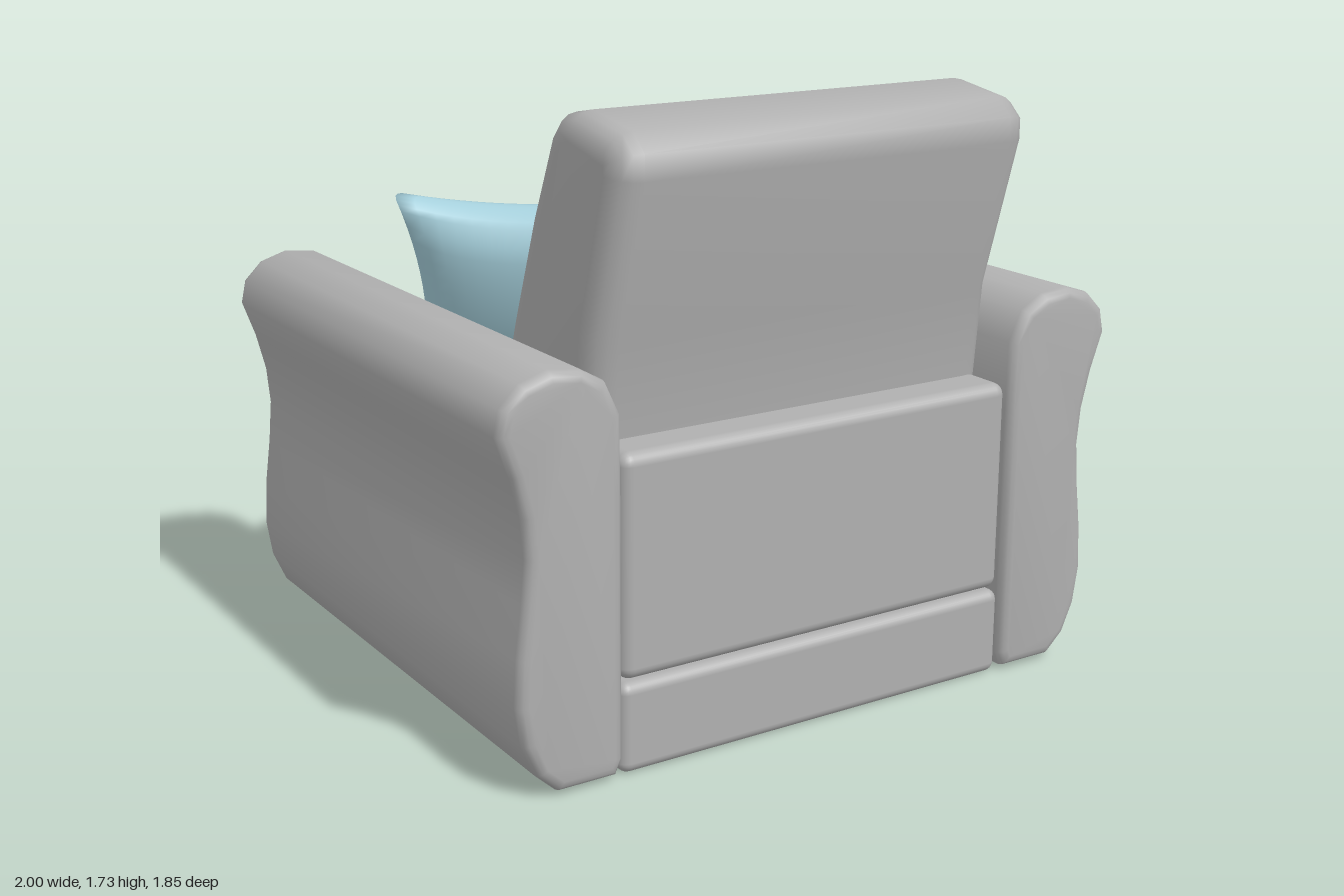
import * as THREE from 'three';
import { mergeVertices, toCreasedNormals } from 'three/addons/utils/BufferGeometryUtils.js';
import { RoundedBoxGeometry } from 'three/addons/geometries/RoundedBoxGeometry.js';

const material = (name, color) => {
  const m = new THREE.MeshStandardMaterial({ color });
  m.name = name;
  return m;
};

// Extrudes an outline from 0 to depth with rounded edges that stay inside the outline.
function softExtrude(points, depth, bevel, segments = 4) {
  const shape = new THREE.Shape(points.map(([x, y]) => new THREE.Vector2(x, y)));
  const g = new THREE.ExtrudeGeometry(shape, {
    depth: depth - 2 * bevel, steps: 1, bevelEnabled: true, bevelThickness: bevel,
    bevelSize: bevel, bevelOffset: -bevel, bevelSegments: segments,
  });
  g.translate(0, 0, bevel);
  return toCreasedNormals(g, 0.9);
}

// Cushion from a side profile of [z, y] points, centred across x.
function sideCushion(points, width, bevel) {
  const g = softExtrude(points, width, bevel);
  g.translate(0, 0, -width / 2);
  g.rotateY(-Math.PI / 2);
  return g;
}

// Square pillow: pinched sides, pointed corners and a swollen middle.
function pillowGeometry(width, height) {
  let g = new THREE.BoxGeometry(2, 2, 2, 14, 14, 6);
  g.deleteAttribute('uv');
  g.deleteAttribute('normal');
  g = mergeVertices(g);
  const p = g.attributes.position;
  for (let i = 0; i < p.count; i++) {
    const u = p.getX(i), v = p.getY(i), w = p.getZ(i);
    const rim = 1 - 0.07 * w * w;
    const swell = Math.pow(Math.max(0, (1 - u * u) * (1 - v * v)), 0.6);
    const edge = 0.045 + 0.02 * (1 - u * u * v * v);
    p.setXYZ(i,
      u * rim * (1 - 0.13 * (1 - v * v)) * width / 2,
      v * rim * (1 - 0.13 * (1 - u * u)) * height / 2,
      w * (edge + 0.08 * swell));
  }
  g.computeVertexNormals();
  return g;
}

export function createModel() {
  const fabric = material('grey fabric', 0xb0b0b0);
  const wood = material('brown wood', 0xa3845f);
  const blue = material('blue fabric', 0xa6d0dc);
  const model = new THREE.Group();
  model.name = 'armchair';

  const add = (name, geometry, mat, x = 0, y = 0, z = 0) => {
    const mesh = new THREE.Mesh(geometry, mat);
    mesh.name = name;
    mesh.position.set(x, y, z);
    model.add(mesh);
    return mesh;
  };

  // Base and rear panel
  add('base', new RoundedBoxGeometry(1.29, 0.255, 1.68, 3, 0.03), fabric, 0, 0.1305, 0.065);
  add('rearPanel', new RoundedBoxGeometry(1.28, 0.62, 0.46, 3, 0.035), fabric, 0, 0.575, 0.675);

  // Seat cushion, overhanging the front of the base
  add('seatCushion', sideCushion([
    [-0.8, 0.27], [-0.87, 0.285], [-0.91, 0.33], [-0.925, 0.39], [-0.925, 0.63],
    [-0.905, 0.69], [-0.86, 0.735], [-0.8, 0.755], [-0.5, 0.785], [-0.1, 0.795],
    [0.4, 0.78], [0.4, 0.27],
  ], 1.32, 0.07), fabric);

  // Reclined backrest
  add('backrest', sideCushion([
    [0.55, 0.55], [0.75, 0.6], [0.775, 0.88], [0.8, 1.15], [0.925, 1.58], [0.925, 1.65],
    [0.87, 1.7], [0.68, 1.73], [0.6, 1.715], [0.55, 1.66], [0.45, 1.44],
    [0.34, 1.15], [0.22, 0.8], [0.17, 0.6],
  ], 1.325, 0.075), fabric);

  // Arms with curved outer sides, and their wooden front trims
  const armOutline = [
    [0.665, 0.015], [0.84, 0.015], [0.9, 0.07], [0.94, 0.16], [0.957, 0.27], [0.95, 0.4],
    [0.932, 0.54], [0.922, 0.66], [0.932, 0.77], [0.96, 0.88], [1.0, 0.99], [0.985, 1.06],
    [0.93, 1.115], [0.85, 1.14], [0.76, 1.13], [0.69, 1.09], [0.648, 1.0],
    [0.645, 0.8], [0.645, 0.06],
  ];
  const trimOutline = [
    [0.675, 0.08], [0.8, 0.08], [0.86, 0.12], [0.89, 0.2], [0.9, 0.3], [0.89, 0.42],
    [0.865, 0.56], [0.86, 0.68], [0.875, 0.8], [0.91, 0.92], [0.905, 0.98], [0.87, 1.025],
    [0.81, 1.04], [0.75, 1.02], [0.715, 0.98], [0.705, 0.91], [0.725, 0.85], [0.755, 0.81],
    [0.765, 0.74], [0.765, 0.27], [0.75, 0.22], [0.72, 0.2], [0.675, 0.2],
  ];
  for (const [side, s] of [['left', 1], ['right', -1]]) {
    const mirrored = (points) => points.map(([x, y]) => [s * x, y]);
    add(side + 'Arm', softExtrude(mirrored(armOutline), 1.7, 0.03, 3), fabric, 0, 0, -0.78);
    add(side + 'ArmTrim', softExtrude(mirrored(trimOutline), 0.04, 0.005, 1), wood, 0, 0, -0.803);
  }
  add('frontTrim', new THREE.BoxGeometry(1.26, 0.13, 0.04), wood, 0, 0.145, -0.783);

  // Two loose pillows leaning back towards the corners
  const pillow = pillowGeometry(0.74, 0.7);
  for (const [name, x, z, turn] of [
    ['leftPillow', 0.45, 0, 0.94],
    ['rightPillow', -0.39, 0, -0.64],
  ]) {
    const mesh = add(name, pillow, blue, x, 1.085, z);
    mesh.rotation.set(0.42, turn, 0, 'YXZ');
  }
  return model;
}
